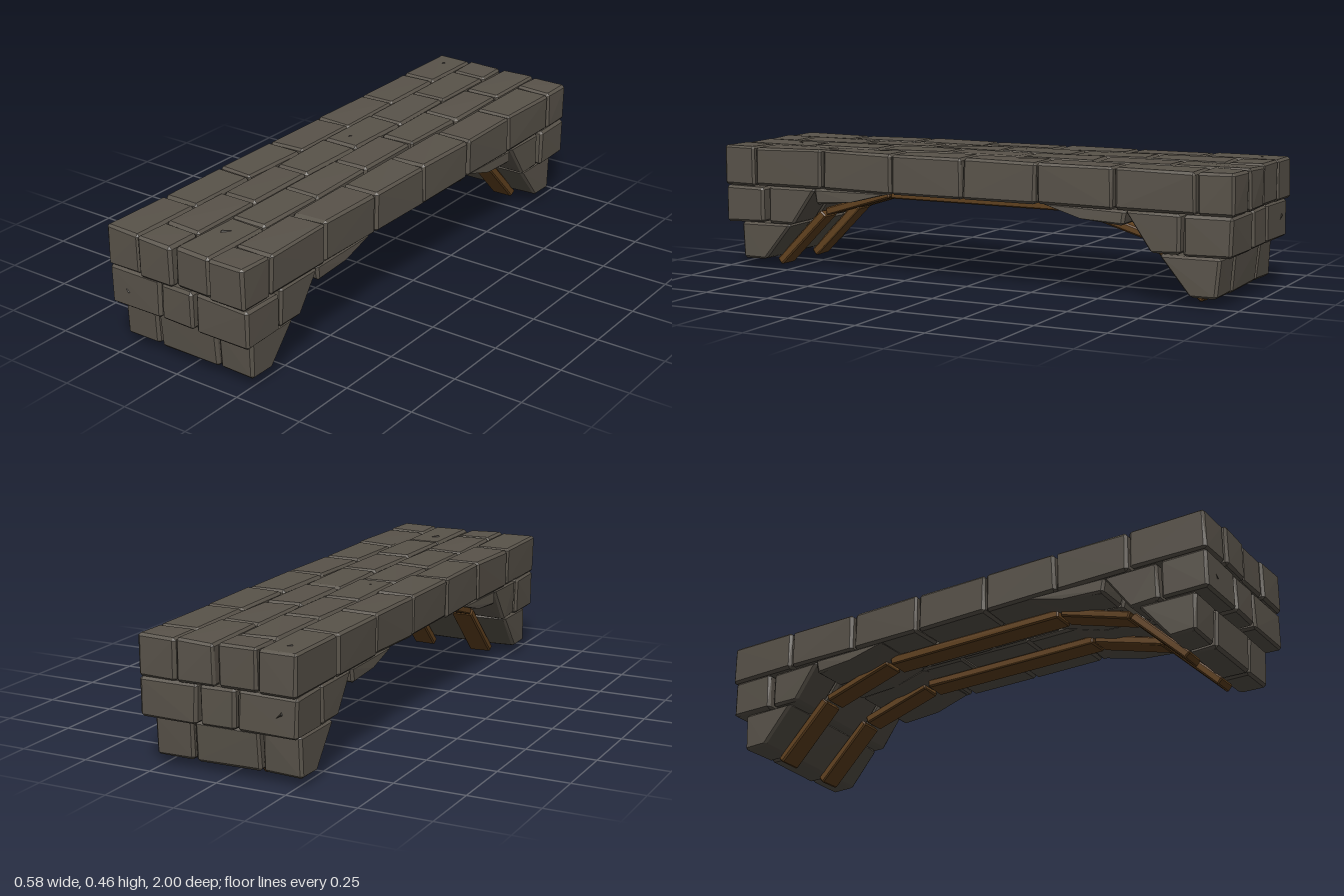
import * as THREE from 'three';
import { ConvexGeometry } from 'three/addons/geometries/ConvexGeometry.js';

const stoneMat = new THREE.MeshStandardMaterial({ color: 0x59534a, flatShading: true });
const woodMat = new THREE.MeshStandardMaterial({ color: 0x62421f, flatShading: true });
const darkMat = new THREE.MeshStandardMaterial({ color: 0x3a362f, flatShading: true });
stoneMat.color.set(0x59534a);

// Small seeded generator, so every stone is slightly irregular
let seed = 7;
const rand = () => {
  seed = (seed * 16807) % 2147483647;
  return seed / 2147483647;
};
const jitter = (a) => (rand() - 0.5) * 2 * a;

// Chamfered block: a four-cornered (z, y) profile spanning x0..x1
function block(name, x0, x1, profile, material, chamfer, wobble) {
  const corners = [x0, x1].map((x) => profile.map(([z, y]) =>
    new THREE.Vector3(x + jitter(wobble), y + jitter(wobble), z + jitter(wobble))));
  const points = [];
  for (let s = 0; s < 2; s++) {
    for (let i = 0; i < 4; i++) {
      const c = corners[s][i];
      const toward = (p) => p.clone().sub(c).normalize().multiplyScalar(chamfer * (0.8 + 0.4 * rand()));
      const dirs = [corners[1 - s][i], corners[s][(i + 1) % 4], corners[s][(i + 3) % 4]].map(toward);
      // one point inset on each of the three faces that meet here
      for (let k = 0; k < 3; k++) points.push(c.clone().add(dirs[k]).add(dirs[(k + 1) % 3]));
    }
  }
  const mesh = new THREE.Mesh(new ConvexGeometry(points), material);
  mesh.name = name;
  return mesh;
}

const rect = (z0, z1, y0, y1) => [[z0, y0], [z1, y0], [z1, y1], [z0, y1]];
const stone = (name, x0, x1, profile) => block(name, x0, x1, profile, stoneMat, 0.009, 0.003);

// Deck: four columns of stones in running bond
function makeDeck() {
  const deck = new THREE.Group();
  deck.name = 'deck';
  const bondA = [-1, -0.72, -0.435, -0.15, 0.135, 0.42, 0.705, 0.99];
  const bondB = [-0.995, -0.86, -0.57, -0.285, 0, 0.285, 0.57, 0.86, 1];
  const columns = [[-0.288, -0.148], [-0.144, -0.005], [0.001, 0.138], [0.146, 0.288]];
  columns.forEach(([x0, x1], i) => {
    const cuts = i % 2 ? bondB : bondA;
    for (let k = 0; k < cuts.length - 1; k++) {
      const shift = jitter(0.003);
      deck.add(stone('deckStone', x0 + shift, x1 + shift,
        rect(cuts[k] + 0.003, cuts[k + 1] - 0.003, 0.316, 0.459)));
    }
  });
  return deck;
}

// Stepped abutment courses at one end; side is +1 (front) or -1 (back)
function makeAbutment(side) {
  const group = new THREE.Group();
  group.name = side > 0 ? 'frontAbutment' : 'backAbutment';
  const courses = [
    { name: 'baseStone', spans: [[-0.274, -0.133], [-0.122, 0.118], [0.125, 0.266]],
      profile: [[0.94, 0.176], [0.72, 0.176], [0.835, 0.038], [0.93, 0.038]] },
    { name: 'middleStone', spans: [[-0.284, -0.072], [-0.066, 0.065], [0.077, 0.29]],
      profile: rect(0.82, 0.985, 0.179, 0.314) },
    { name: 'haunchStone', spans: [[-0.28, -0.136], [-0.128, 0.128], [0.136, 0.28]],
      profile: [[0.805, 0.314], [0.605, 0.314], [0.70, 0.18], [0.805, 0.18]] },
    { name: 'crownStone', spans: [[-0.28, -0.144], [-0.138, -0.003], [0.003, 0.138], [0.144, 0.28]],
      profile: [[0.61, 0.318], [0.30, 0.318], [0.45, 0.277], [0.60, 0.262]] },
  ];
  for (const { name, spans, profile } of courses) {
    const placed = profile.map(([z, y]) => [z * side, y]);
    for (const [x0, x1] of spans) group.add(stone(name, x0, x1, placed));
  }
  return group;
}

// Plank of given thickness along a line in the (z, y) plane
function plank(xMid, [za, ya], [zb, yb]) {
  const len = Math.hypot(zb - za, yb - ya), t = 0.015;
  const nz = (-(yb - ya) / len) * t, ny = ((zb - za) / len) * t;
  return block('plank', xMid - 0.043, xMid + 0.043,
    [[za + nz, ya + ny], [zb + nz, yb + ny], [zb - nz, yb - ny], [za - nz, ya - ny]],
    woodMat, 0.005, 0.002);
}

// Timber rib: five planks following the arch
function makeRib(name, xMid) {
  const rib = new THREE.Group();
  rib.name = name;
  for (const s of [1, -1]) {
    rib.add(plank(xMid, [0.845 * s, 0.013], [0.648 * s, 0.211]));
    rib.add(plank(xMid, [0.637 * s, 0.216], [0.37 * s, 0.298]));
  }
  rib.add(plank(xMid, [0.36, 0.296], [-0.35, 0.296]));
  return rib;
}

// Chip: a slim tapering nick lying in its local xy plane
function makeChip(x, y, z, rx, ry, spin) {
  const chip = new THREE.Mesh(new ConvexGeometry([
    [-0.026, 0.026, -0.004], [0.024, -0.014, -0.004], [0.004, -0.026, -0.004], [0.009, -0.014, 0.004],
  ].map((p) => new THREE.Vector3(...p))), darkMat);
  chip.name = 'chip';
  chip.position.set(x, y, z);
  chip.rotation.set(rx, ry, spin);
  return chip;
}

export function createModel() {
  const model = new THREE.Group();
  model.name = 'stoneArchBridge';
  model.add(makeDeck(), makeAbutment(1), makeAbutment(-1));
  model.add(makeRib('leftRib', 0.116), makeRib('rightRib', -0.125));

  // Chips on the top and the two end faces
  for (const [x, z] of [[-0.215, -0.92], [-0.07, -0.08], [0.065, 0.8]]) {
    model.add(makeChip(x, 0.459, z, -Math.PI / 2, 0, -1.5));
  }
  model.add(makeChip(-0.215, 0.25, 0.985, 0, 0, 0));
  model.add(makeChip(-0.215, 0.25, -0.985, 0, Math.PI, 1.5));
  return model;
}
